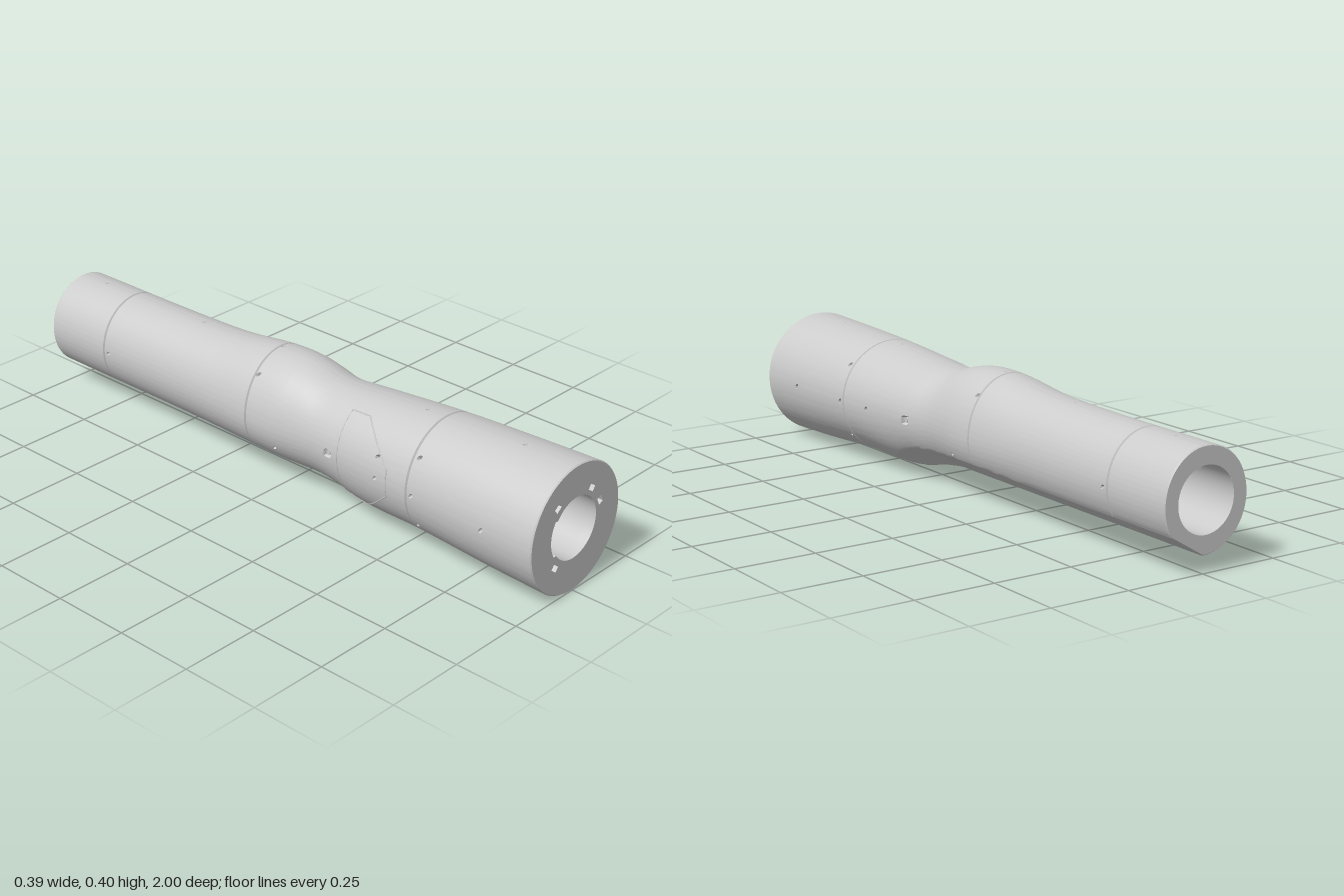
import * as THREE from 'three';
import { toCreasedNormals } from 'three/addons/utils/BufferGeometryUtils.js';

const grey = new THREE.MeshStandardMaterial({ color: 0xcccccc });
const inside = new THREE.MeshStandardMaterial({ color: 0xcccccc, side: THREE.DoubleSide });
const CX = -0.005, CY = 0.203, SIDES = 144, DEG = Math.PI / 180;
const BORE = { x: -0.007, y: 0.204, r: 0.096 };

// z, then half extents from the axis: up, down, -x, +x
const keys = [
  [-1, .152, .152, .145, .14], [-.45, .157, .152, .145, .14], [-.3, .164, .152, .15, .142],
  [-.1, .187, .152, .16, .152], [0, .187, .152, .16, .15], [.06, .177, .152, .153, .145],
  [.14, .157, .152, .147, .143], [.22, .157, .162, .152, .163], [.3, .163, .18, .16, .171],
  [.54, .18, .181, .175, .188], [.8, .191, .195, .188, .195], [1, .197, .202, .195, .2],
];
const spline = new THREE.CubicInterpolant(keys.map(k => k[0]), keys.flatMap(k => k.slice(1)), 4);

// Point on the outer skin; the lower +x side is cut by a flat that fades out forward
function skin(angle, z, inset = 0) {
  const [up, down, neg, pos] = spline.evaluate(z);
  const c = Math.cos(angle), s = Math.sin(angle);
  const w = c > 0 ? pos : neg, h = s > 0 ? up : down;
  let r = 1 / Math.hypot(c / w, s / h);
  const facing = c * 0.52 - s * 0.854;
  const flat = 0.133 + 0.075 * THREE.MathUtils.smoothstep(z, 0.1, 0.52);
  if (facing > 0) r = Math.min(r, flat / facing);
  r -= inset;
  return new THREE.Vector3(CX + r * c, CY + r * s, z);
}

// Screw holes: angle in degrees, z, radius
const holes = [];
for (const z of [.82, .475, -.435, -.88]) holes.push([90, z, .005]);
for (const z of [.82, .475, -.435, -.74]) holes.push([270, z, .005]);
for (const a of [50, 90, 130, 270]) holes.push([a, -.093, .005]);
const sideHoles = [[0, .82], [37, .557], [0, .557], [-37, .557], [0, .42], [-26, 0], [0, -.735]];
for (const [a, z] of sideHoles) holes.push([a, z, .005], [180 - a, z, .005]);
holes.push([0, .22, .013], [180, .22, .013], [158, .42, .005]);

// One shell section with tapered ends, so that neighbours leave a fine seam
function section(name, z0, z1, inset0, inset1) {
  const zs = [z0], n = Math.round((z1 - z0) / 0.008);
  for (let i = 0; i <= n; i++) zs.push(z0 + .004 + (z1 - z0 - .008) * i / n);
  zs.push(z1);

  // Sink the grid points that lie within a hole
  const sunk = new Set();
  for (const [deg, hz, hr] of holes) {
    if (hz < z0 || hz > z1) continue;
    const j0 = Math.round(deg * DEG / (2 * Math.PI) * SIDES);
    let i0 = 0;
    zs.forEach((z, i) => { if (Math.abs(z - hz) < Math.abs(zs[i0] - hz)) i0 = i; });
    for (let i = i0 - 3; i <= i0 + 3; i++) for (let j = j0 - 3; j <= j0 + 3; j++) {
      const arc = (j - j0) / SIDES * 2 * Math.PI * 0.165;
      if (Math.hypot(arc, (i - i0) * 0.008) < hr) sunk.add(i * SIDES + (j + SIDES) % SIDES);
    }
  }
  const pos = [], index = [];
  zs.forEach((z, i) => {
    const end = i === 0 ? inset0 : i === zs.length - 1 ? inset1 : 0;
    for (let j = 0; j < SIDES; j++) {
      const p = skin(j / SIDES * 2 * Math.PI, z, end + (sunk.has(i * SIDES + j) ? 0.018 : 0));
      pos.push(p.x, p.y, p.z);
      if (i === zs.length - 1) continue;
      const a = i * SIDES + j, b = i * SIDES + (j + 1) % SIDES;
      index.push(a, b, a + SIDES, b, b + SIDES, a + SIDES);
    }
  });
  const geo = new THREE.BufferGeometry();
  geo.setAttribute('position', new THREE.Float32BufferAttribute(pos, 3));
  geo.setIndex(index);
  const mesh = new THREE.Mesh(toCreasedNormals(geo, 0.4), grey);
  mesh.name = name;
  return mesh;
}

// End outline matching the shell, with the given openings
function endShape(z, inset, openings) {
  const pts = [];
  for (let j = 0; j < SIDES; j++) pts.push(skin(j / SIDES * 2 * Math.PI, z, inset));
  const shape = new THREE.Shape(pts.map(p => new THREE.Vector2(p.x, p.y)));
  shape.holes.push(...openings);
  return shape;
}

// Bore outline, optionally widened by a crescent notch on the -x side
function boreOutline(notch) {
  const pts = [];
  for (let i = 0; i < 180; i++) {
    const deg = i * 2, r = BORE.r + (notch && deg >= 148 && deg <= 212 ? 0.009 : 0);
    pts.push(new THREE.Vector2(BORE.x + r * Math.cos(deg * DEG), BORE.y + r * Math.sin(deg * DEG)));
  }
  return new THREE.Path(pts);
}

function pocket(x, y, deg) {
  const corners = [[-.012, -.009], [.012, -.009], [.012, .009], [-.012, .009]];
  return new THREE.Path(corners.map(([u, v]) =>
    new THREE.Vector2(u, v).rotateAround(new THREE.Vector2(), deg * DEG).add(new THREE.Vector2(x, y))));
}

export function createModel() {
  const group = new THREE.Group();
  const add = (name, geo, mat = grey) => {
    const mesh = new THREE.Mesh(geo, mat);
    mesh.name = name;
    group.add(mesh);
    return mesh;
  };

  // Four shell sections
  group.add(section('rearSleeve', -1, -.755, .003, .006));
  group.add(section('rearGrip', -.755, -.108, .006, .006));
  group.add(section('middleGrip', -.108, .54, .006, .006));
  group.add(section('frontSleeve', .54, 1, .006, .003));

  // Bore through the whole length
  const bore = new THREE.CylinderGeometry(BORE.r, BORE.r, 1.97, 96, 1, true);
  bore.rotateX(Math.PI / 2).translate(BORE.x, BORE.y, -.015);
  add('bore', bore, inside);

  // Front face with four pockets and a notch, closed by a floor behind
  const pockets = [[-.088, .298, 38], [.061, .302, -32], [.104, .246, -65], [-.088, .11, -38]];
  const face = endShape(1, .003, [boreOutline(true), ...pockets.map(p => pocket(...p))]);
  const front = new THREE.ExtrudeGeometry(face, { depth: .03, bevelEnabled: false });
  add('frontFace', front.translate(0, 0, .97));
  const floor = new THREE.ShapeGeometry(endShape(1, .012, [boreOutline(false)]));
  add('pocketFloor', floor.translate(0, 0, .972), inside);

  // Rear face
  const rear = new THREE.ShapeGeometry(endShape(-1, .003, [boreOutline(false)]));
  add('rearFace', rear.translate(0, 0, -1), inside);

  // Screw heads in the two large side holes
  for (const side of [-1, 1]) {
    const head = new THREE.CylinderGeometry(.008, .008, .012, 20);
    head.rotateZ(Math.PI / 2);
    const p = skin(side > 0 ? 0 : Math.PI, .22, .012);
    add('sideScrew', head.translate(p.x, p.y, p.z));
  }

  // Outline of the access panel on the -x side
  const outline = [[123, .26], [123, .33], [165, .46], [195, .46], [237, .33], [237, .26]];
  const path = new THREE.CurvePath();
  outline.forEach(([a0, z0], i) => {
    const [a1, z1] = outline[(i + 1) % outline.length];
    for (let k = 0; k < 10; k++) {
      const at = t => skin((a0 + (a1 - a0) * t) * DEG, z0 + (z1 - z0) * t);
      path.add(new THREE.LineCurve3(at(k / 10), at((k + 1) / 10)));
    }
  });
  add('panelOutline', new THREE.TubeGeometry(path, 240, .0022, 6, true));

  return group;
}
